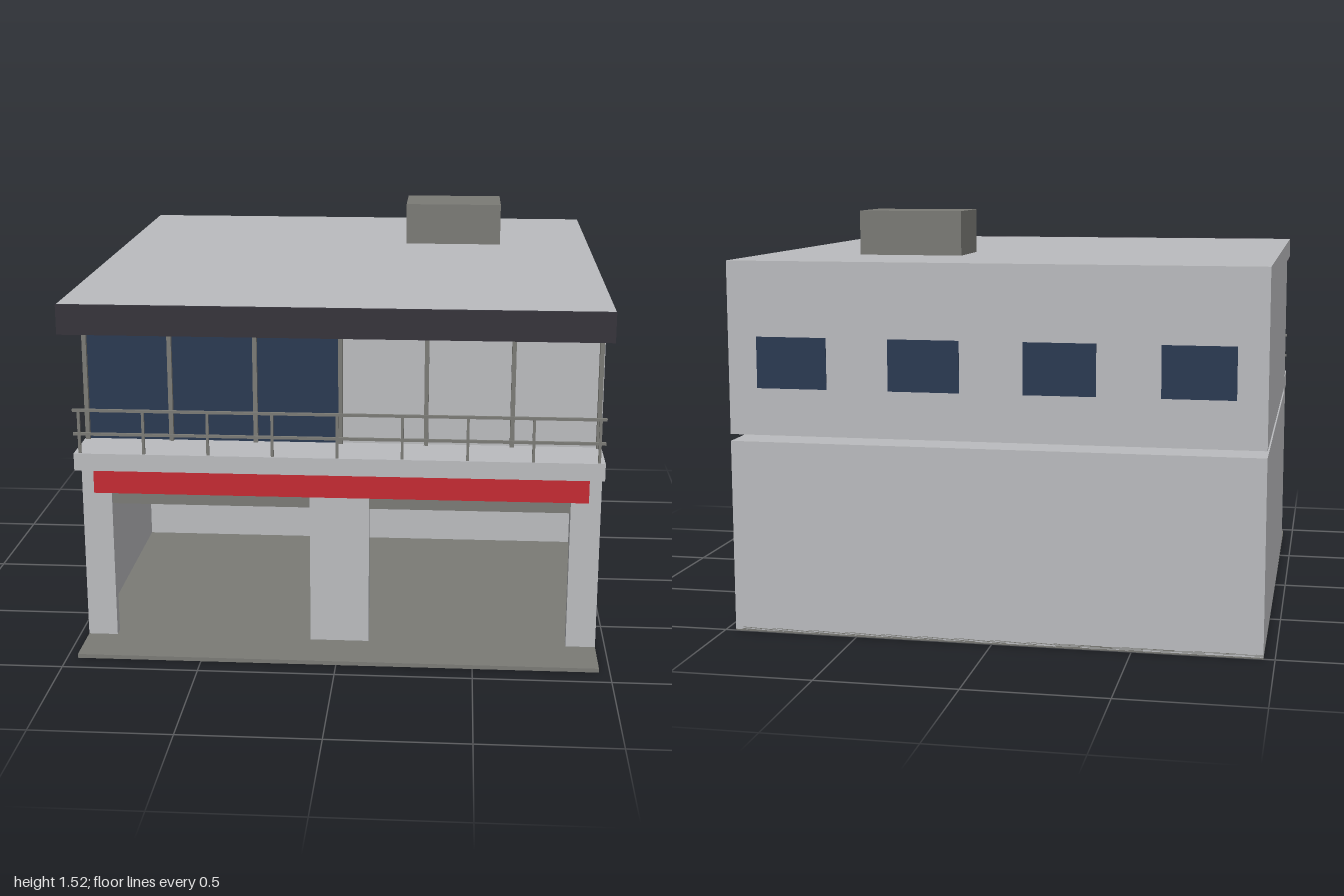
import * as THREE from 'three';

const mat = (name, color) => {
  const m = new THREE.MeshStandardMaterial({ color });
  m.name = name;
  return m;
};

export function createModel() {
  const group = new THREE.Group();
  const concrete = mat('pale concrete', 0xbbbcbf);
  const grey = mat('dark grey', 0x7b7b76);
  const charcoal = mat('charcoal', 0x36343b);
  const red = mat('red', 0xc42b33);
  const glass = mat('navy glass', 0x2b3a52);

  // Box given by its minimum and maximum on each axis
  const box = (name, material, x0, x1, y0, y1, z0, z1) => {
    const mesh = new THREE.Mesh(new THREE.BoxGeometry(x1 - x0, y1 - y0, z1 - z0), material);
    mesh.position.set((x0 + x1) / 2, (y0 + y1) / 2, (z0 + z1) / 2);
    mesh.name = name;
    group.add(mesh);
    return mesh;
  };
  const W = 0.96;

  // Ground slabs: garage with apron, and rear rooms
  box('frontFloorSlab', grey, -W, W, 0, 0.015, -0.39, 0.92);
  box('rearFloorSlab', grey, -W, W, 0, 0.015, -1, -0.39);

  // Ground storey shell
  for (const s of [-1, 1]) {
    const inner = s * (W - 0.03), outer = s * W;
    box('groundSideWall', concrete, Math.min(inner, outer), Math.max(inner, outer), 0.005, 0.705, -1, 0.69);
  }
  box('groundBackWall', concrete, -0.93, 0.93, 0.005, 0.705, -1, -0.97);
  box('garagePartition', concrete, -0.93, 0.93, 0.015, 0.68, -0.41, -0.39);
  box('garageCeiling', concrete, -0.93, 0.93, 0.68, 0.705, -0.97, 0.69);

  // Front wall with two garage openings
  const front = new THREE.Shape([
    [-W, 0.005], [-0.85, 0.005], [-0.85, 0.585], [-0.11, 0.585], [-0.11, 0.005], [0.11, 0.005],
    [0.11, 0.585], [0.85, 0.585], [0.85, 0.005], [W, 0.005], [W, 0.705], [-W, 0.705],
  ].map(([x, y]) => new THREE.Vector2(x, y)));
  const frontWall = new THREE.Mesh(
    new THREE.ExtrudeGeometry(front, { depth: 0.04, bevelEnabled: false }), concrete);
  frontWall.position.z = 0.69;
  frontWall.name = 'garageFrontWall';
  group.add(frontWall);

  // Rolled shutters and the red band above them
  box('leftShutter', grey, 0.11, 0.85, 0.54, 0.6, 0.695, 0.72);
  box('rightShutter', grey, -0.85, -0.11, 0.54, 0.6, 0.695, 0.72);
  box('redBand', red, -0.915, 0.915, 0.585, 0.685, 0.729, 0.736);

  // Balcony, upper storey and overhanging roof
  box('balconySlab', concrete, -W, W, 0.705, 0.77, 0.59, 0.84);
  box('upperStorey', concrete, -W, W, 0.73, 1.275, -1, 0.64);
  box('roof', concrete, -W, W, 1.275, 1.355, -1, 0.99);
  box('roofFascia', charcoal, -W, W, 1.25, 1.356, 0.988, 1);

  // Front glazing and its posts
  box('frontGlazing', glass, -0.95, 0, 0.77, 1.25, 0.638, 0.643);
  for (let i = -3; i <= 3; i++) {
    const x = i * 0.316;
    box('windowPost', grey, x - 0.008, x + 0.008, 0.77, 1.25, 0.638, 0.66);
  }

  // Balcony railing
  for (let i = -4; i <= 4; i++) {
    const x = i * 0.2345;
    box('railingPost', grey, x - 0.005, x + 0.005, 0.77, 0.93, 0.825, 0.835);
  }
  for (const y of [0.842, 0.931]) box('rail', grey, -W, W, y - 0.005, y + 0.005, 0.825, 0.835);

  // Back windows
  for (const x of [-0.725, -0.242, 0.242, 0.725])
    box('backWindow', glass, x - 0.129, x + 0.129, 0.9, 1.085, -1.002, -0.997);

  // Rooftop unit
  box('rooftopUnit', grey, 0.205, 0.595, 1.355, 1.52, -0.565, -0.31);

  return group;
}
